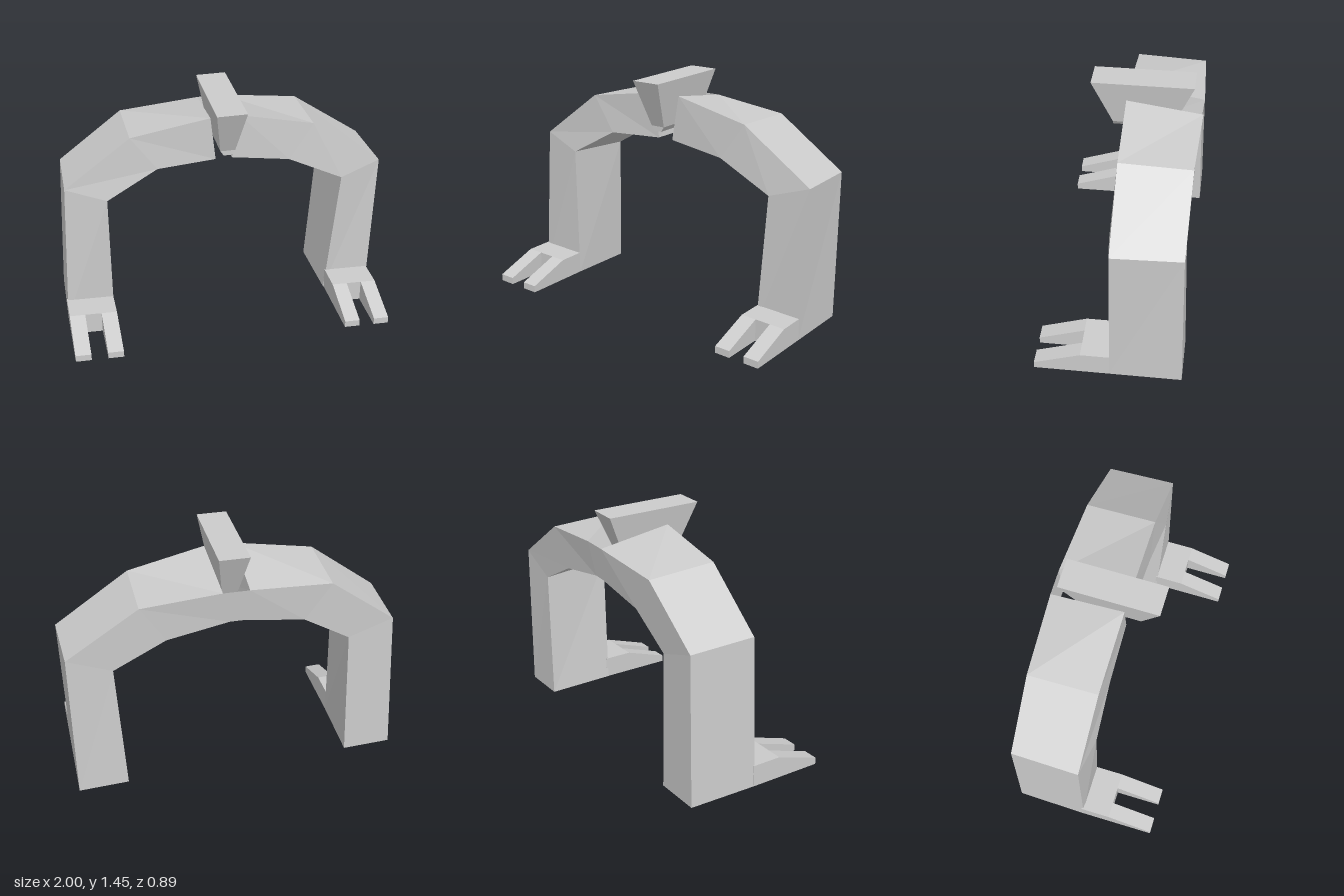
import * as THREE from 'three';

const grey = new THREE.MeshStandardMaterial({ color: 0xcccccc, flatShading: true });
const thin = new THREE.MeshStandardMaterial({ color: 0xcccccc, flatShading: true, side: THREE.DoubleSide });

// Closed solid through four-cornered sections, corners counterclockwise about the direction of travel
function loft(name, sections) {
  const pos = [];
  const quad = (a, b, c, d) => [a, b, c, a, c, d].forEach((p) => pos.push(...p));
  for (let s = 0; s < sections.length - 1; s++) {
    const lo = sections[s], hi = sections[s + 1];
    for (let i = 0; i < 4; i++) {
      const j = (i + 1) % 4;
      quad(lo[i], lo[j], hi[j], hi[i]);
    }
  }
  quad(...[...sections[0]].reverse());
  quad(...sections[sections.length - 1]);
  const geo = new THREE.BufferGeometry();
  geo.setAttribute('position', new THREE.Float32BufferAttribute(pos, 3));
  geo.computeVertexNormals();
  const mesh = new THREE.Mesh(geo, grey);
  mesh.name = name;
  return mesh;
}

// Horizontal rectangle at height y
const rect = (y, x0, x1, z0, z1) => [[x1, y, z1], [x1, y, z0], [x0, y, z0], [x0, y, z1]];

// Arch halves, foot to crown: outer front, outer back, inner back, inner front
const leftArch = [
  [[0.97, 0, 0], [0.97, 0, -0.425], [0.67, 0.015, -0.425], [0.68, 0.015, 0]],
  [[1.0, 0.93, -0.01], [0.985, 0.93, -0.415], [0.72, 0.825, -0.41], [0.75, 0.85, 0.02]],
  [[0.56, 1.235, -0.005], [0.56, 1.22, -0.425], [0.41, 0.99, -0.415], [0.41, 1.015, 0.01]],
  [[0.1, 1.34, 0], [0.09, 1.27, -0.445], [0.045, 1.065, -0.42], [0.055, 1.065, 0]],
];
const rightArch = [
  [[-1.0, 0.04, 0], [-0.99, 0.04, -0.425], [-0.7, 0.027, -0.425], [-0.71, 0.027, 0]],
  [[-0.955, 0.96, -0.01], [-0.945, 0.95, -0.415], [-0.68, 0.85, -0.41], [-0.71, 0.87, 0.02]],
  [[-0.555, 1.26, -0.005], [-0.555, 1.24, -0.425], [-0.4, 1.015, -0.415], [-0.4, 1.045, 0.01]],
  [[-0.075, 1.34, 0], [-0.065, 1.27, -0.445], [-0.035, 1.065, -0.42], [-0.045, 1.065, 0]],
];

// Foot: a flat instep and two sloping toes, tilted by the ground line from (x0, y0) to (x1, y1)
function foot(name, x0, y0, x1, y1) {
  const g = new THREE.Group();
  g.name = name;
  const ground = (x) => y0 + ((y1 - y0) * (x - x0)) / (x1 - x0);
  const slice = (a, b, z, h) => [
    [a, ground(a), z], [b, ground(b), z], [b, ground(b) + h, z], [a, ground(a) + h, z],
  ];
  g.add(loft('instep', [slice(x0, x1, -0.01, 0.135), slice(x0, x1, 0.17, 0.135)]));
  const w = 0.095;
  for (const a of [x0, x1 - w]) {
    g.add(loft('toe', [slice(a, a + w, 0.17, 0.135), slice(a, a + w, 0.445, 0.042)]));
  }
  return g;
}

export function createModel() {
  const model = new THREE.Group();
  model.name = 'archway';

  model.add(loft('leftArch', leftArch));
  model.add(loft('rightArch', rightArch.map((s) => [...s].reverse())));

  // Thin web closing the crown slot at the back
  const [, lt, lb] = leftArch[3];
  const [, rt, rb] = rightArch[3];
  const webGeo = new THREE.BufferGeometry();
  webGeo.setAttribute('position', new THREE.Float32BufferAttribute([lt, lb, rb, lt, rb, rt].flat(), 3));
  webGeo.computeVertexNormals();
  const web = new THREE.Mesh(webGeo, thin);
  web.name = 'crownBackWeb';
  model.add(web);

  // Wedge-shaped keystone with a chamfered lower edge
  model.add(loft('keystone', [
    rect(1.13, -0.015, 0.035, -0.27, 0.085),
    rect(1.16, -0.035, 0.055, -0.27, 0.085),
    rect(1.445, -0.08, 0.1, -0.39, 0.205),
  ]));

  model.add(foot('leftFoot', 0.685, 0.013, 0.97, 0));
  model.add(foot('rightFoot', -1.0, 0.04, -0.71, 0.027));
  return model;
}
